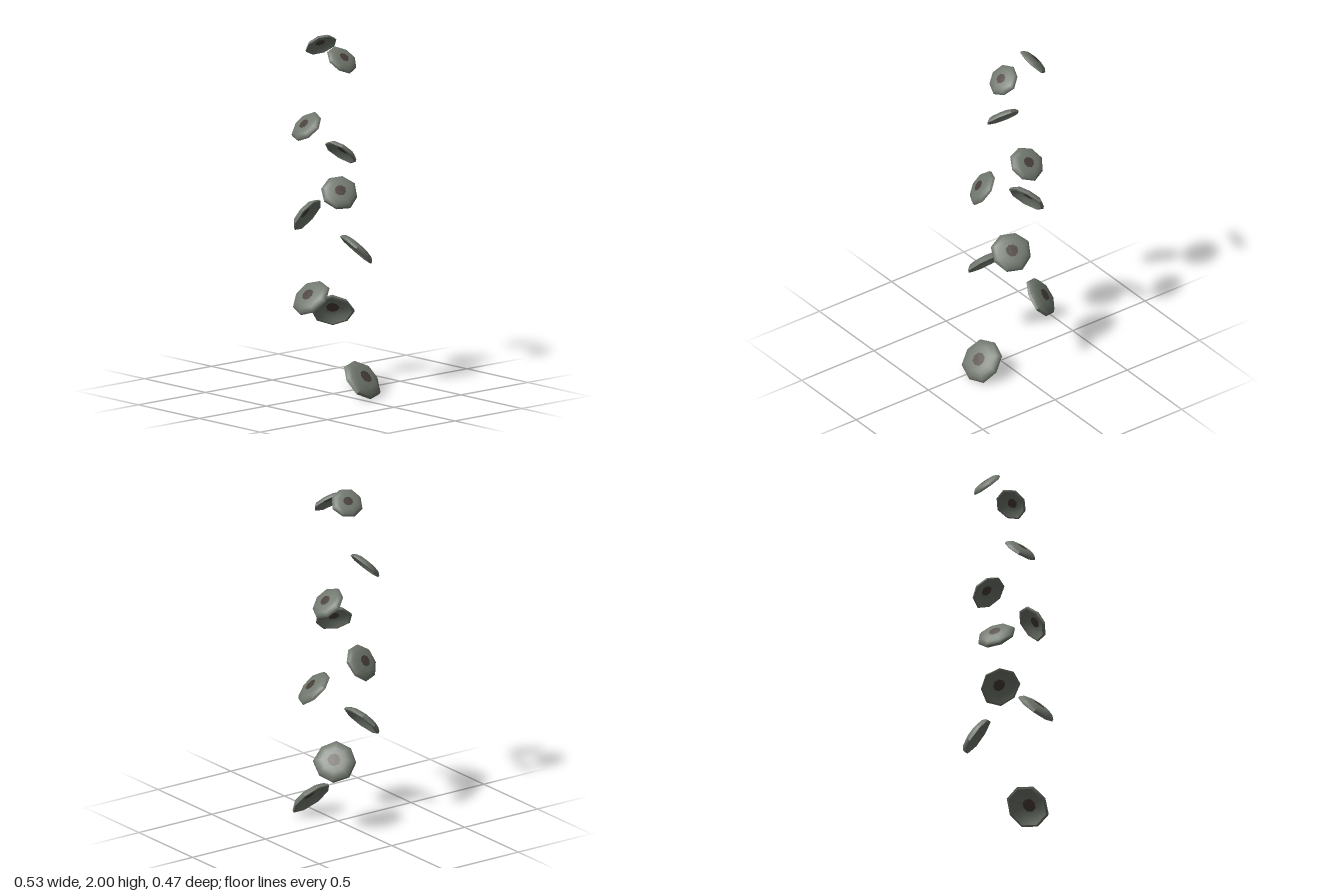
import * as THREE from 'three';
import { toCreasedNormals } from 'three/addons/utils/BufferGeometryUtils.js';

const SIDES = 8;
const shellMaterial = new THREE.MeshStandardMaterial({ color: 0x70776d });
shellMaterial.name = 'grey green';
const hubMaterial = new THREE.MeshStandardMaterial({ color: 0x483e38 });
hubMaterial.name = 'dark brown';

// centre, outward normal and radius of each shallow cup, bottom to top
const CUPS = [
  [[0.18, 0.1, -0.06], [0.74, 0.65, -0.14], 0.125],
  [[-0.17, 0.43, -0.15], [-0.55, 0.6, -0.58], 0.12],
  [[-0.015, 0.563, 0.16], [0, 0.68, 0.73], 0.117],
  [[0.034, 0.805, -0.145], [0.28, 0.72, -0.63], 0.113],
  [[-0.2, 0.985, 0.02], [-0.8, 0.55, 0.25], 0.11],
  [[0.1, 1.157, 0.043], [0.7, 0.6, 0.36], 0.106],
  [[-0.083, 1.335, -0.137], [0, 0.74, -0.67], 0.101],
  [[-0.1, 1.51, 0.113], [-0.08, 0.7, 0.7], 0.097],
  [[0.023, 1.882, -0.05], [0.68, 0.72, -0.04], 0.092],
  [[-0.178, 1.935, -0.069], [-0.68, 0.7, -0.18], 0.09],
];

// Profiles as fractions of the radius, running from underside to top
const SHELL = [[0.31, 0.08], [0.6, 0.04], [0.9, -0.15], [1, -0.12], [0.97, 0.0], [0.82, 0.13], [0.58, 0.19], [0.31, 0.21]];
const INNER_HUB = [[0, 0.08], [0.31, 0.08]];
const OUTER_HUB = [[0.31, 0.21], [0, 0.22]];

function seeded(seed) {
  let s = seed * 7919 + 17;
  return () => (s = (s * 16807) % 2147483647) / 2147483647;
}

// Lathe whose corners are pushed in or out for an irregular outline
function irregularLathe(profile, radius, wobble) {
  const geometry = new THREE.LatheGeometry(
    profile.map(([r, h]) => new THREE.Vector2(r * radius, h * radius)), SIDES);
  const position = geometry.attributes.position;
  for (let i = 0; i < position.count; i++) {
    const k = wobble[Math.floor(i / profile.length) % SIDES];
    position.setX(i, position.getX(i) * k);
    position.setZ(i, position.getZ(i) * k);
  }
  return geometry;
}

function makeCup([centre, normal, radius], index) {
  const random = seeded(index + 1);
  const wobble = Array.from({ length: SIDES }, () => 0.96 + 0.08 * random());
  const cup = new THREE.Group();
  cup.name = `cup${index + 1}`;
  const add = (name, geometry, material) => {
    const mesh = new THREE.Mesh(geometry, material);
    mesh.name = name;
    cup.add(mesh);
  };
  add('shell', toCreasedNormals(irregularLathe(SHELL, radius, wobble), 0.75), shellMaterial);
  add('innerHub', irregularLathe(INNER_HUB, radius, wobble), hubMaterial);
  add('outerHub', irregularLathe(OUTER_HUB, radius, wobble), hubMaterial);
  cup.position.set(...centre);
  cup.quaternion.setFromUnitVectors(
    new THREE.Vector3(0, 1, 0), new THREE.Vector3(...normal).normalize());
  return cup;
}

export function createModel() {
  const model = new THREE.Group();
  model.name = 'spiralOfCups';
  CUPS.forEach((cup, i) => model.add(makeCup(cup, i)));
  return model;
}
